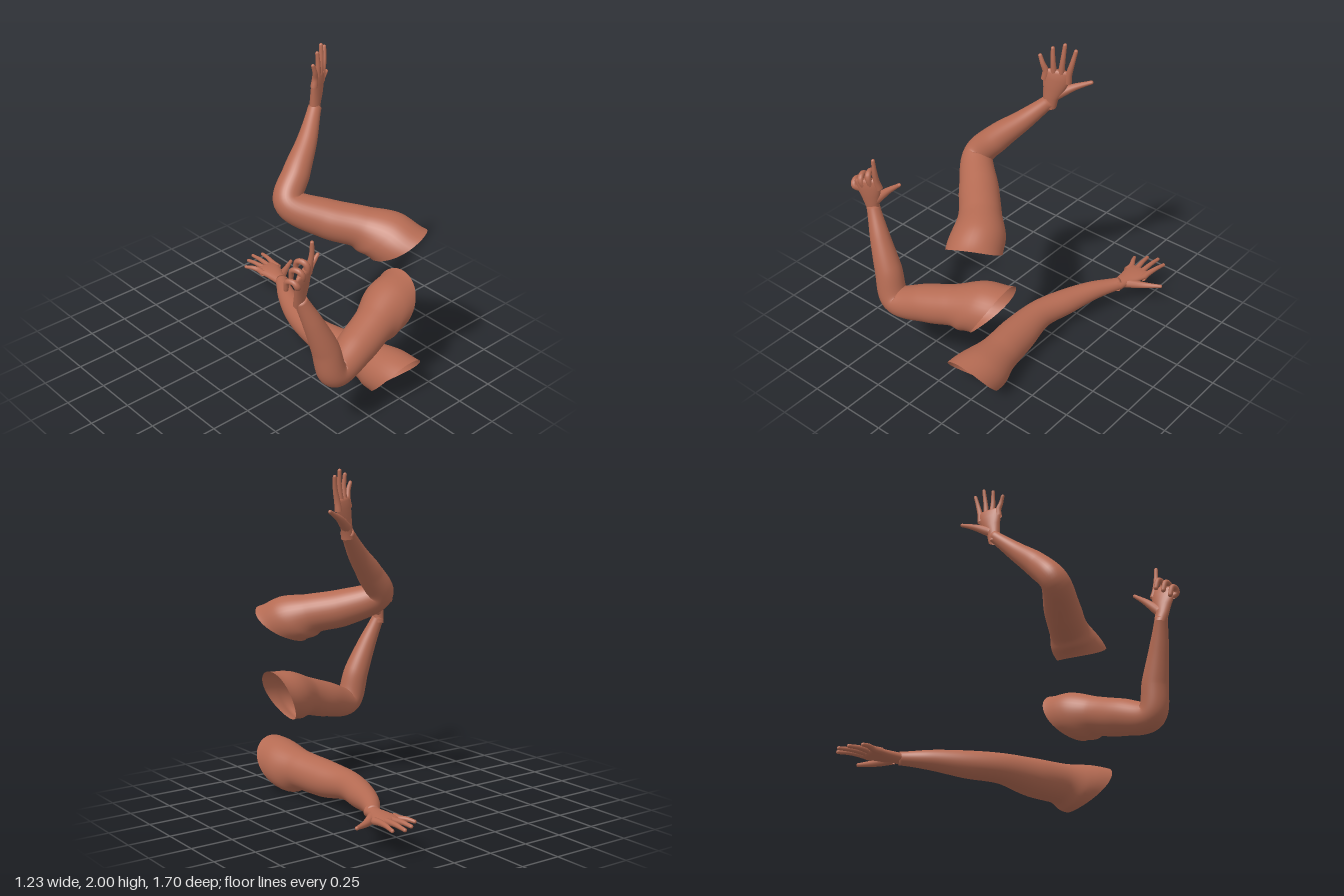
import * as THREE from 'three';

const V = (a) => new THREE.Vector3(...a);
const skin = new THREE.MeshStandardMaterial({ color: 0xb56b53, side: THREE.DoubleSide });
skin.name = 'skin';

// Smooth skin over a list of closed rings, closed at the far end
function loft(rings) {
  const n = rings[0].length, pos = [], idx = [];
  rings.forEach((r) => r.forEach((p) => pos.push(p.x, p.y, p.z)));
  const end = new THREE.Vector3();
  rings[rings.length - 1].forEach((p) => end.addScaledVector(p, 1 / n));
  pos.push(end.x, end.y, end.z);
  const tip = rings.length * n;
  for (let i = 0; i < rings.length; i++) {
    for (let j = 0; j < n; j++) {
      const a = i * n + j, b = i * n + (j + 1) % n;
      if (i === rings.length - 1) idx.push(a, b, tip);
      else idx.push(a, b, b + n, a, b + n, a + n);
    }
  }
  const g = new THREE.BufferGeometry();
  g.setAttribute('position', new THREE.Float32BufferAttribute(pos, 3));
  g.setIndex(idx);
  g.computeVertexNormals();
  return g;
}

// Round rings swept along a smooth path; rim is the plane normal of a slanted open start
function sweep(pts, radii, steps, sides, rim) {
  const path = new THREE.CatmullRomCurve3(pts.map(V));
  const radius = new THREE.SplineCurve(radii.map((r, i) => new THREE.Vector2(i, r)));
  const start = path.getPoint(0), rings = [];
  const N = Math.abs(path.getTangent(0).y) > 0.8 ? V([1, 0, 0]) : V([0, 1, 0]);
  for (let i = 0; i <= steps; i++) {
    const t = i / steps, c = path.getPoint(t), T = path.getTangent(t), r = radius.getPoint(t).y;
    N.addScaledVector(T, -N.dot(T)).normalize();
    const B = T.clone().cross(N), ring = [];
    for (let j = 0; j < sides; j++) {
      const a = (j / sides) * Math.PI * 2;
      const v = N.clone().multiplyScalar(r * Math.cos(a)).addScaledVector(B, r * Math.sin(a));
      if (rim) {
        const fade = Math.max(0, 1 - c.distanceTo(start) / 0.26);
        const slide = -v.dot(rim) / T.dot(rim);
        const bulge = 0.03 * (1 - (slide / (0.85 * r)) ** 2);
        v.addScaledVector(T, fade * (slide - bulge));
      }
      ring.push(v.add(c));
    }
    rings.push(ring);
  }
  return rings;
}

function add(group, name, geometry) {
  const m = new THREE.Mesh(geometry, skin);
  m.name = name;
  group.add(m);
}

// Tapered sweep with a rounded tip
function finger(group, name, pts, r0, r1) {
  const tip = V(pts[pts.length - 1]);
  const dir = tip.clone().sub(V(pts[pts.length - 2])).normalize();
  const rings = sweep(pts, [r0, r1], 14, 12);
  const last = rings[rings.length - 1];
  for (const a of [0.4, 0.8, 1.2]) {
    rings.push(last.map((p) => p.clone().sub(tip).multiplyScalar(Math.cos(a)).add(tip)
      .addScaledVector(dir, r1 * Math.sin(a))));
  }
  add(group, name, loft(rings));
}

// Palm sections: y, centre x, half width, half thickness
const palm = [
  [-0.04, 0, 0.036, 0.034], [0.02, 0, 0.043, 0.03], [0.08, 0.012, 0.06, 0.031],
  [0.14, 0.017, 0.076, 0.028], [0.18, 0.018, 0.077, 0.021], [0.195, 0.02, 0.068, 0.013],
];
const fingerNames = ['littleFinger', 'ringFinger', 'middleFinger', 'indexFinger'];
const reach = [0.265, 0.32, 0.35, 0.325];

// Hand in local space: fingers along +y, thumb along +x, back of the hand +z
function makeHand(pointing) {
  const hand = new THREE.Group();
  hand.name = 'hand';
  add(hand, 'palm', loft(palm.map(([y, x, w, t]) => Array.from({ length: 24 }, (_, j) => {
    const a = (j / 24) * Math.PI * 2;
    return V([x + w * Math.cos(a), y, 0.03 * y - t * Math.sin(a)]);
  }))));
  fingerNames.forEach((name, i) => {
    const base = 0.042 * i - 0.045, tip = 0.062 * i - 0.085, y = reach[i];
    if (pointing && i < 3) {
      // curled towards the palm, knuckle on top
      const x = base * 1.25 - 0.009, k = y * 0.66;
      finger(hand, name, [[base, 0.13, 0.006], [x, k - 0.02, 0.014], [x, k, -0.008],
        [x, k - 0.012, -0.045], [x, k - 0.065, -0.05]], 0.019, 0.014);
    } else {
      finger(hand, name, [[base, 0.13, 0.004], [base, 0.18, 0.008],
        [(base + tip) / 2, 0.09 + y / 2, 0.012], [tip, y, 0.006]], 0.021, 0.011);
    }
  });
  finger(hand, 'thumb', [[0.015, 0.03, -0.005], [0.11, 0.095, -0.014], [0.205, 0.15, -0.008]], 0.03, 0.011);
  return hand;
}

// Shared radii: rim, shoulder, crease, upper arm, elbow, forearm, lower forearm, wrist
const armRadii = [0.152, 0.147, 0.119, 0.111, 0.087, 0.078, 0.058, 0.038];

// Arm through the matching points; the hand is oriented by its finger and thumb directions
function makeArm(name, pts, rim, along, across, pointing) {
  const arm = new THREE.Group();
  arm.name = name;
  add(arm, 'armAndShoulder', loft(sweep(pts, armRadii, 80, 36, V(rim).normalize())));
  const Y = V(along).normalize();
  const Z = V(across).cross(Y).normalize();
  const X = Y.clone().cross(Z);
  const hand = makeHand(pointing);
  hand.quaternion.setFromRotationMatrix(new THREE.Matrix4().makeBasis(X, Y, Z));
  hand.position.set(...pts[pts.length - 1]);
  arm.add(hand);
  return arm;
}

export function createModel() {
  const model = new THREE.Group();
  model.name = 'threeArms';
  model.add(makeArm('upperRaisedArm', [
    [0.24, 1.04, 0.67], [0.2, 1.08, 0.59], [0.13, 1.11, 0.5], [0, 1.15, 0.36],
    [-0.14, 1.24, 0.2], [-0.04, 1.37, 0.15], [0.09, 1.5, 0.09], [0.22, 1.64, 0.01],
  ], [0.25, -0.85, 0.46], [0.09, 1, -0.05], [0.87, -0.08, -0.48], false));
  model.add(makeArm('middlePointingArm', [
    [0.29, 0.6, 0.61], [0.2, 0.59, 0.63], [0.08, 0.56, 0.67], [-0.09, 0.51, 0.71],
    [-0.3, 0.47, 0.76], [-0.36, 0.65, 0.75], [-0.43, 0.83, 0.73], [-0.5, 1, 0.7],
  ], [0.89, -0.46, 0], [-0.12, 0.97, 0.17], [0.93, 0.05, -0.36], true));
  model.add(makeArm('lowerReachingArm', [
    [0.24, 0.15, 0.7], [0.24, 0.15, 0.6], [0.23, 0.15, 0.48], [0.2, 0.14, 0.27],
    [0.19, 0.15, 0.05], [0.24, 0.15, -0.15], [0.31, 0.16, -0.33], [0.4, 0.165, -0.49],
  ], [0, -0.63, 0.77], [0.03, 0, -1], [1, 0, 0.03], false));
  return model;
}
